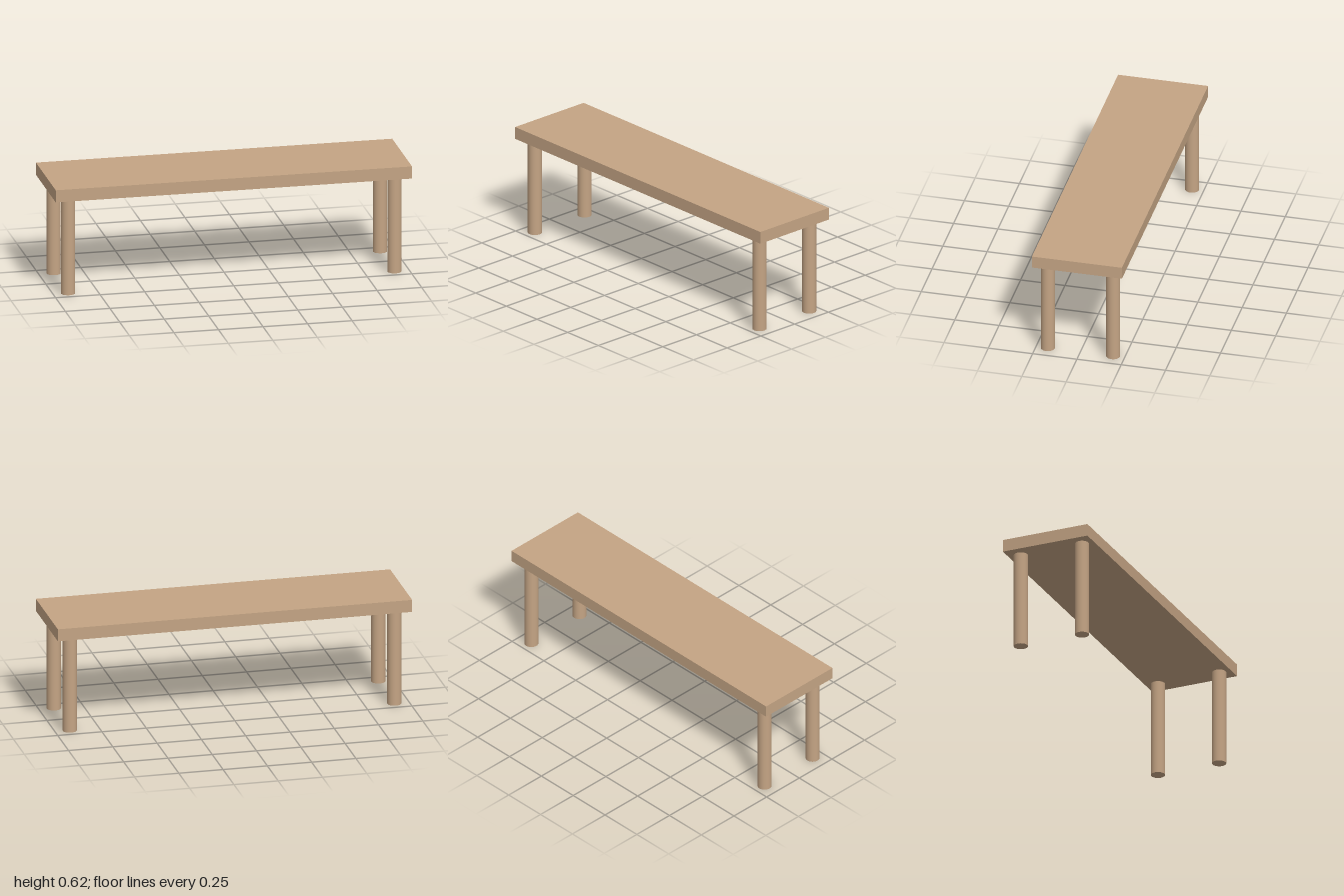
import * as THREE from 'three';

export function createModel() {
  const bench = new THREE.Group();
  bench.name = 'bench';
  const wood = new THREE.MeshStandardMaterial({ color: 0xc4a484 });

  const legHeight = 0.55, legRadius = 0.039, seatThickness = 0.07;

  // Seat plank
  const seat = new THREE.Mesh(new THREE.BoxGeometry(2, seatThickness, 0.508), wood);
  seat.name = 'seat';
  seat.position.y = legHeight + seatThickness / 2;
  bench.add(seat);

  // Four round legs, one near each corner
  const legGeometry = new THREE.CylinderGeometry(legRadius, legRadius, legHeight, 32);
  for (const [side, sx] of [['Left', 1], ['Right', -1]]) {
    for (const [end, sz] of [['front', 1], ['back', -1]]) {
      const leg = new THREE.Mesh(legGeometry, wood);
      leg.name = `${end}${side}Leg`;
      leg.position.set(sx * 0.916, legHeight / 2, sz * 0.184);
      bench.add(leg);
    }
  }
  return bench;
}
